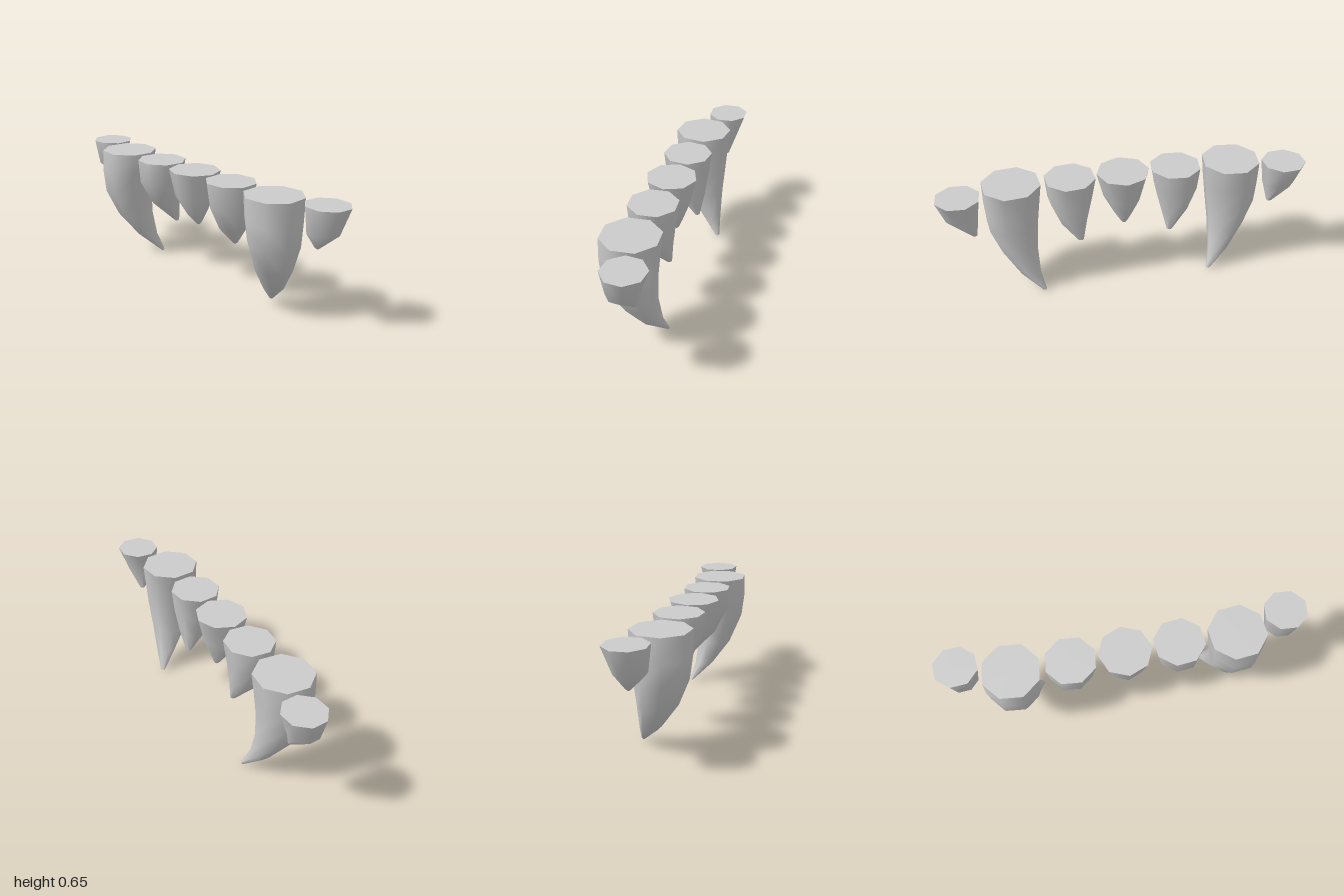
import * as THREE from 'three';

const SIDES = 8;

// Rows run from gum to tip: [y, xMin, xMax, zMin, zMax]; turn is the rotation of the octagon.
const TEETH = {
  centreTooth: {
    turn: 0, tip: 0.325,
    rows: [
      [0.65, -0.145, 0.145, -0.125, 0.155],
      [0.5, -0.108, 0.108, -0.09, 0.125],
      [0.39, -0.05, 0.05, -0.05, 0.055],
      [0.335, -0.014, 0.014, -0.027, 0.001],
    ],
  },
  innerTooth: {
    turn: -0.29, tip: 0.27,
    rows: [
      [0.65, 0.155, 0.425, -0.115, 0.145],
      [0.52, 0.178, 0.412, -0.1, 0.133],
      [0.39, 0.21, 0.358, -0.085, 0.068],
      [0.282, 0.236, 0.268, -0.072, -0.042],
    ],
  },
  fang: {
    turn: -0.29, tip: 0,
    rows: [
      [0.65, 0.45, 0.758, -0.135, 0.168],
      [0.52, 0.465, 0.758, -0.123, 0.168],
      [0.395, 0.48, 0.75, -0.113, 0.152],
      [0.25, 0.492, 0.692, -0.108, 0.092],
      [0.108, 0.488, 0.598, -0.118, -0.01],
      [0.01, 0.465, 0.487, -0.136, -0.112],
    ],
  },
  outerTooth: {
    turn: 0.32, tip: 0.4,
    rows: [
      [0.65, 0.77, 1.0, -0.169, 0.05],
      [0.51, 0.79, 0.957, -0.122, 0.033],
      [0.412, 0.806, 0.836, -0.09, -0.06],
    ],
  },
};

// Lofts octagonal cross-sections into a smooth tooth with a flat, sharp-edged top.
function toothGeometry({ rows, turn, tip }, side) {
  const pos = [], index = [];
  const tri = (a, b, c) => (side > 0 ? index.push(a, b, c) : index.push(a, c, b));
  const grow = 1 / Math.cos(turn);
  const addRing = ([y, x0, x1, z0, z1]) => {
    for (let i = 0; i < SIDES; i++) {
      const a = turn + (i / SIDES) * Math.PI * 2;
      const x = (x0 + x1) / 2 + Math.sin(a) * grow * (x1 - x0) / 2;
      const z = (z0 + z1) / 2 + Math.cos(a) * grow * (z1 - z0) / 2;
      pos.push(side * x, y, z);
    }
  };
  const addCentre = ([, x0, x1, z0, z1], y) => {
    pos.push(side * (x0 + x1) / 2, y, (z0 + z1) / 2);
    return pos.length / 3 - 1;
  };

  // Side wall
  rows.forEach(addRing);
  for (let r = 0; r < rows.length - 1; r++) {
    for (let i = 0; i < SIDES; i++) {
      const j = (i + 1) % SIDES, up = r * SIDES, low = up + SIDES;
      tri(up + i, low + i, low + j);
      tri(up + i, low + j, up + j);
    }
  }

  // Blunt tip
  const last = (rows.length - 1) * SIDES;
  const point = addCentre(rows[rows.length - 1], tip);
  for (let i = 0; i < SIDES; i++) tri(last + i, point, last + (i + 1) % SIDES);

  // Flat top with its own vertices
  const top = pos.length / 3;
  addRing(rows[0]);
  const centre = addCentre(rows[0], rows[0][0]);
  for (let i = 0; i < SIDES; i++) tri(centre, top + i, top + (i + 1) % SIDES);

  const geometry = new THREE.BufferGeometry();
  geometry.setAttribute('position', new THREE.Float32BufferAttribute(pos, 3));
  geometry.setIndex(index);
  geometry.computeVertexNormals();
  return geometry;
}

export function createModel() {
  const group = new THREE.Group();
  group.name = 'teeth';
  const material = new THREE.MeshStandardMaterial({ color: 0xcccccc });
  const add = (name, spec, side) => {
    const mesh = new THREE.Mesh(toothGeometry(spec, side), material);
    mesh.name = name;
    group.add(mesh);
  };

  add('centreTooth', TEETH.centreTooth, 1);
  // Mirrored pairs
  for (const name of ['innerTooth', 'fang', 'outerTooth']) {
    add(name + 'Left', TEETH[name], 1);
    add(name + 'Right', TEETH[name], -1);
  }
  return group;
}
